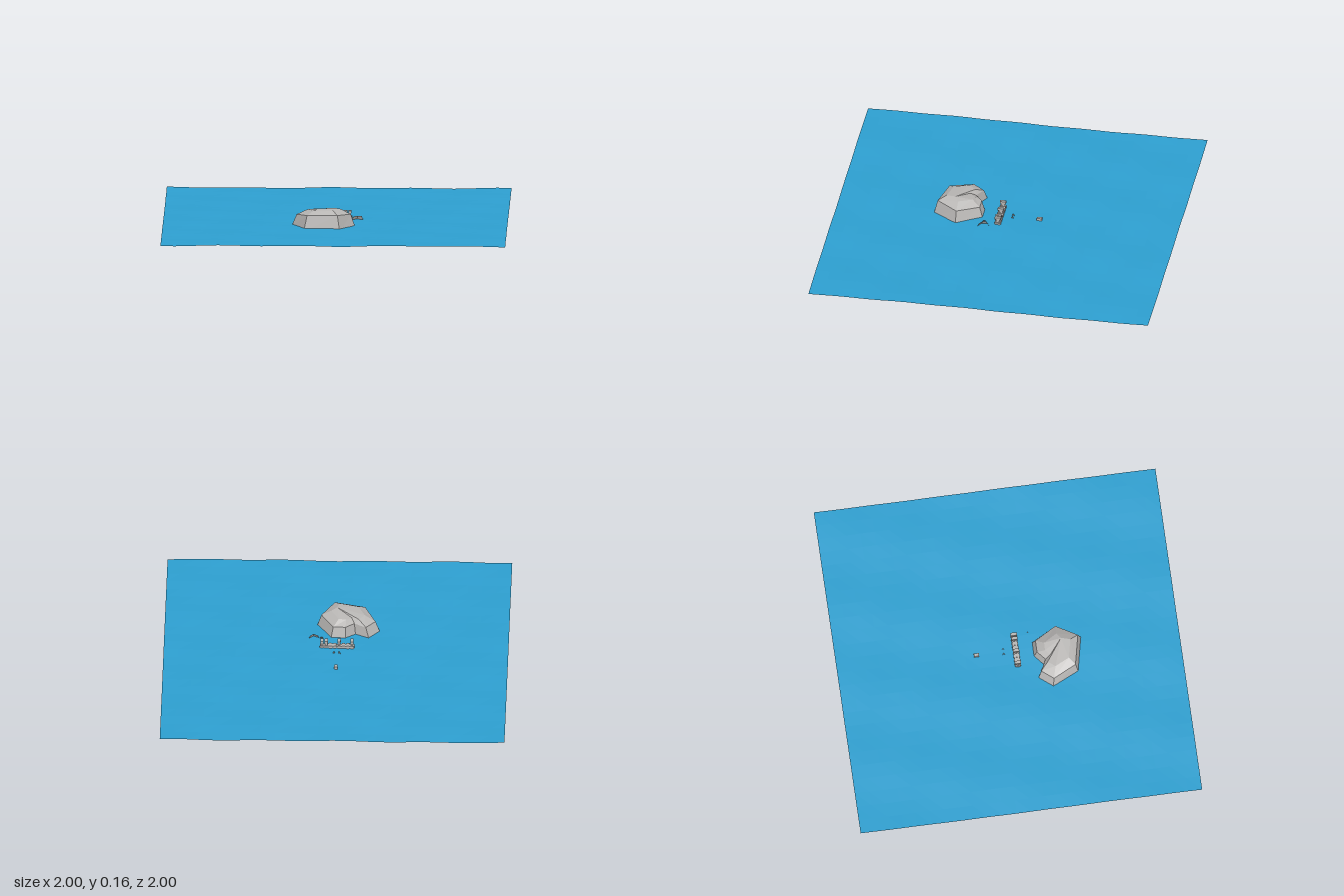
import * as THREE from 'three';

const stone = new THREE.MeshStandardMaterial({ color: 0xb8b6b4 });
stone.name = 'grey stone';
stone.flatShading = true;
const water = new THREE.MeshStandardMaterial({ color: 0x2d9fd0, side: THREE.DoubleSide });
water.name = 'blue water';
water.flatShading = true;

// Closed faceted body from stacked rings (bottom to top), counted clockwise from above.
function ringBody(rings, bottom, top) {
  const pos = [];
  const tri = (a, b, c) => pos.push(...a, ...b, ...c);
  const n = rings[0].length;
  for (let i = 0; i < n; i++) {
    const j = (i + 1) % n;
    tri(bottom, rings[0][j], rings[0][i]);
    for (let k = 0; k < rings.length - 1; k++) {
      const a = rings[k], b = rings[k + 1];
      tri(a[i], a[j], b[j]);
      tri(a[i], b[j], b[i]);
    }
    const last = rings[rings.length - 1];
    tri(last[i], last[j], top);
  }
  const g = new THREE.BufferGeometry();
  g.setAttribute('position', new THREE.Float32BufferAttribute(pos, 3));
  g.computeVertexNormals();
  return g;
}

function add(parent, name, geometry, material, x = 0, y = 0, z = 0) {
  const m = new THREE.Mesh(geometry, material);
  m.name = name;
  m.position.set(x, y, z);
  parent.add(m);
  return m;
}

// Gently rippled square of water
function seaGeometry() {
  const g = new THREE.PlaneGeometry(2, 2, 24, 24).rotateX(-Math.PI / 2);
  const p = g.attributes.position;
  for (let i = 0; i < p.count; i++) {
    const x = p.getX(i), z = p.getZ(i);
    p.setY(i, 0.0025 * Math.sin(x * 13 + z * 4) + 0.0015 * Math.sin(z * 17 - x * 6));
  }
  g.computeVertexNormals();
  return g;
}

// Large notched boulder: waist outline, then rings drawn in towards the middle
function boulderGeometry() {
  const cx = -0.06, cz = 0.285;
  const outline = [[-0.18, 0.39], [0.03, 0.435], [0.12, 0.29], [0.035, 0.14],
    [-0.05, 0.14], [-0.11, 0.19], [-0.19, 0.15], [-0.255, 0.23]];
  const shoulder = [0.125, 0.132, 0.12, 0.115, 0.115, 0.115, 0.11, 0.11];
  const ring = (s, y) => outline.map(([x, z], i) =>
    [cx + (x - cx) * s, Array.isArray(y) ? y[i] : y, cz + (z - cz) * s]);
  const base = ring(0.78, 0.006);
  base[0] = [-0.17, 0.012, 0.405];
  base[1] = [0.03, 0.008, 0.447];
  const upper = ring(0.84, shoulder);
  const crown = ring(0.52, [0.148, 0.155, 0.15, 0.143, 0.138, 0.136, 0.138, 0.142]);
  return ringBody([base, ring(1, 0.035), upper, crown], [cx, 0, cz], [0, 0.16, 0.31]);
}

// Small six-sided rock around its own centre
function pebbleGeometry(r, h) {
  const ring = (s, y, lean) => Array.from({ length: 6 }, (_, i) => {
    const a = -i * Math.PI / 3 + 0.4;
    const q = r * s * (i % 2 ? 1 : 0.88);
    return [Math.cos(a) * q + lean, y, Math.sin(a) * q];
  }).reverse();
  return ringBody([ring(0.7, -h * 0.5, 0), ring(1, 0, 0), ring(0.68, h * 0.42, 0.002)],
    [0, -h * 0.55, 0], [0, h * 0.5, 0]);
}

export function createModel() {
  const model = new THREE.Group();
  model.name = 'rocky sea';
  add(model, 'sea', seaGeometry(), water, 0, 0.053, 0);
  add(model, 'boulder', boulderGeometry(), stone);
  add(model, 'smallRock', pebbleGeometry(0.04, 0.052), stone, 0.128, 0.054, 0.12);
  add(model, 'pebble', pebbleGeometry(0.016, 0.024), stone, 0.085, 0.054, 0.125);

  // Low ruined wall with narrow posts and wider caps
  const wall = new THREE.Group();
  wall.name = 'ruinedWall';
  wall.position.set(-0.005, 0, 0.045);
  model.add(wall);
  add(wall, 'wallBase', new THREE.BoxGeometry(0.2, 0.022, 0.028), stone, 0, 0.055, 0);
  for (let i = 0; i < 8; i++) {
    const x = -0.0875 + i * 0.025;
    add(wall, 'wallBlock', new THREE.BoxGeometry(0.016, 0.028, 0.036), stone, x, 0.056, 0);
    if (i % 3 === 0 || i === 7) {
      add(wall, 'wallPost', new THREE.BoxGeometry(0.012, 0.022, 0.022), stone, x, 0.079, 0);
      add(wall, 'wallCap', new THREE.BoxGeometry(0.018, 0.013, 0.036), stone, x, 0.093, 0);
    }
  }

  // Stray stones behind the wall
  add(model, 'strayBlock', new THREE.BoxGeometry(0.018, 0.018, 0.03), stone, -0.003, 0.057, -0.185);
  for (const x of [-0.02, 0.01]) {
    add(model, 'strayChip', pebbleGeometry(0.007, 0.018), stone, x, 0.056, -0.028);
  }
  return model;
}
